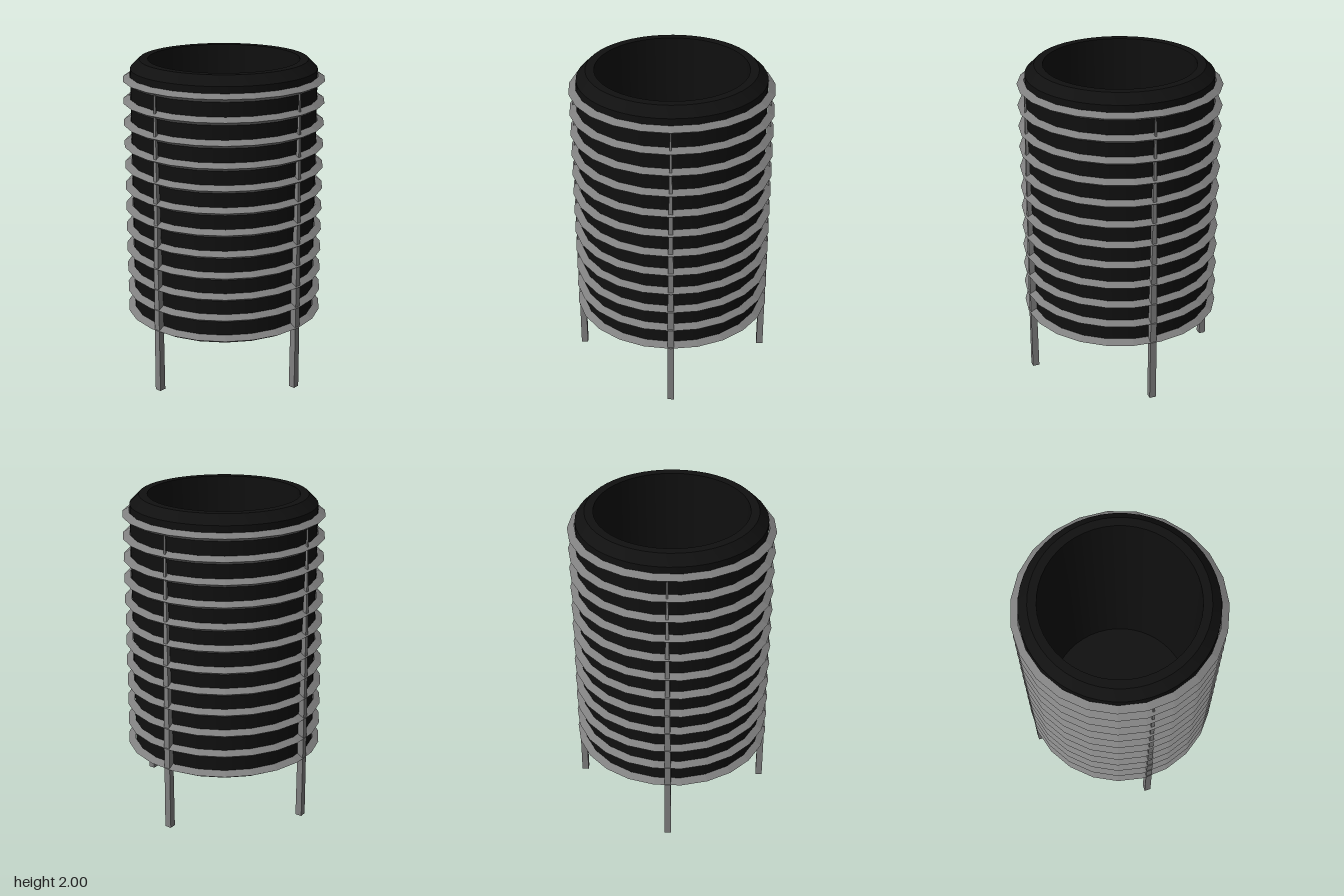
import * as THREE from 'three';
import { toCreasedNormals } from 'three/addons/utils/BufferGeometryUtils.js';

const pts = (list) => list.map(([x, y]) => new THREE.Vector2(x, y));

export function createModel() {
  const model = new THREE.Group();
  const black = new THREE.MeshStandardMaterial({ color: 0x101010 });
  const grey = new THREE.MeshStandardMaterial({ color: 0x808080, flatShading: true });

  const add = (name, geometry, material, parent = model) => {
    const mesh = new THREE.Mesh(geometry, material);
    mesh.name = name;
    parent.add(mesh);
    return mesh;
  };

  // Hollow vessel with a chamfered rim and a closed bottom
  const profile = pts([
    [0, 0.38], [0.568, 0.38], [0.568, 1.945], [0.512, 2],
    [0.46, 2], [0.46, 0.43], [0, 0.43],
  ]);
  add('vessel', toCreasedNormals(new THREE.LatheGeometry(profile, 48), 0.5), black);

  // Stack of hoops with a triangular section pointing outwards
  const hoops = new THREE.Group();
  hoops.name = 'hoops';
  model.add(hoops);
  const hoopGeometry = new THREE.TorusGeometry(0.589, 0.028, 3, 23).rotateX(Math.PI / 2);
  for (let i = 0; i < 12; i++) {
    add('hoop', hoopGeometry, grey, hoops).position.y = 0.405 + i * 0.1342;
  }

  // Four square legs, narrowing towards the top
  const legs = new THREE.Group();
  legs.name = 'legs';
  model.add(legs);
  const half = [[0, 0], [0.021, 0], [0.019, 0.6], [0.012, 1.35], [0.004, 1.87], [0, 1.87]];
  const legProfile = pts(half.map(([w, y]) => [w * Math.SQRT2, y]));
  const legGeometry = new THREE.LatheGeometry(legProfile, 4, Math.PI / 4);
  for (let i = 0; i < 4; i++) {
    const a = (i * Math.PI) / 2;
    const leg = add('leg', legGeometry, grey, legs);
    leg.position.set(Math.cos(a) * 0.589, 0, Math.sin(a) * 0.589);
  }

  return model;
}
